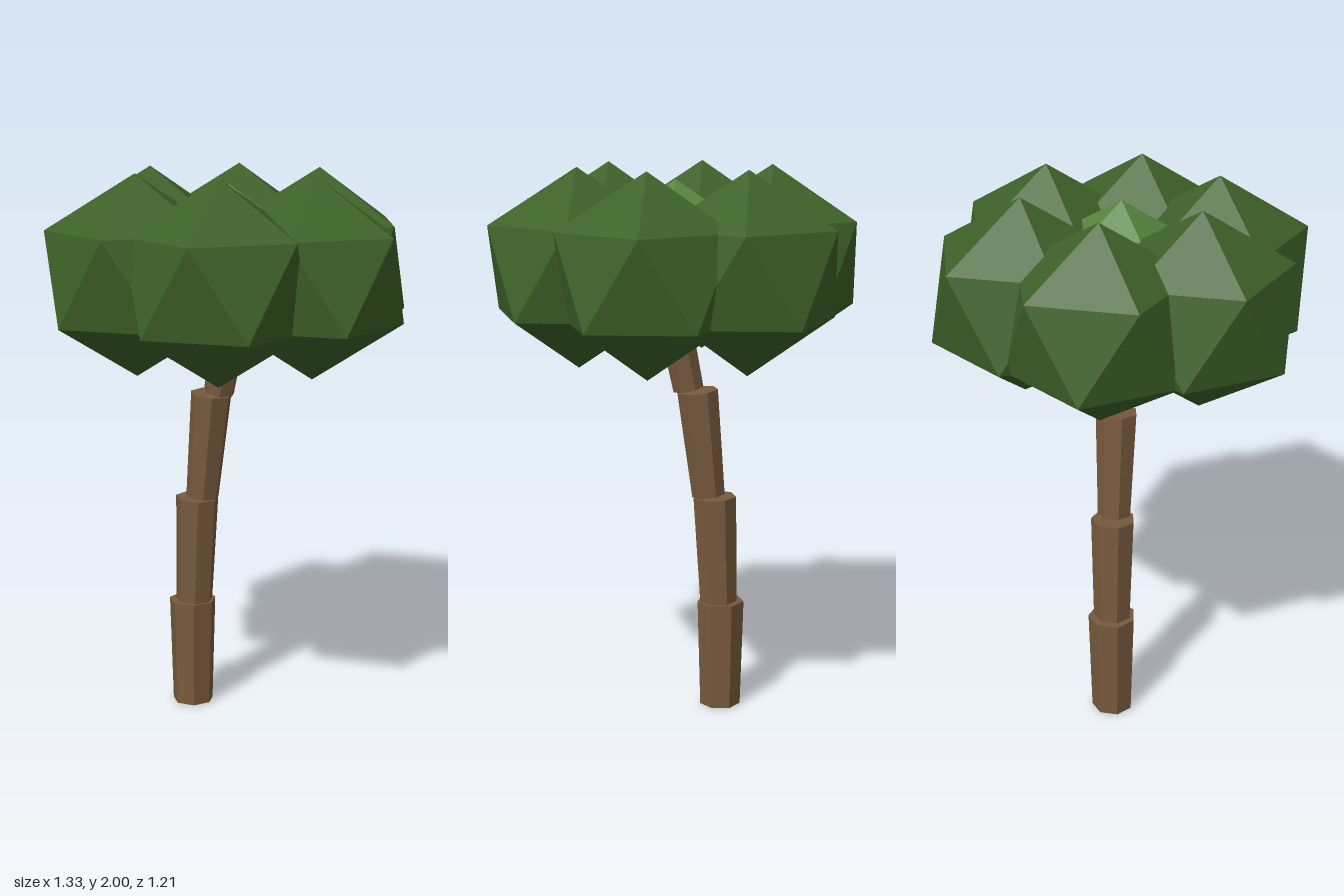
import * as THREE from 'three';

const material = (name, color) => {
  const m = new THREE.MeshStandardMaterial({ color, flatShading: true });
  m.name = name;
  return m;
};

// Icosahedron standing on a point, with an upper ring corner toward +x
function leafGeometry(radius) {
  const g = new THREE.IcosahedronGeometry(radius, 0);
  g.rotateX(-Math.atan((1 + Math.sqrt(5)) / 2));
  g.rotateY(Math.PI / 2);
  return g;
}

export function createModel() {
  const tree = new THREE.Group();
  tree.name = 'tree';
  const bark = material('bark brown', 0x785a3e);
  const leaf = material('leaf green', 0x3d6128);
  const lightLeaf = material('light leaf green', 0x55853d);

  const add = (parent, name, geometry, mat, x, y, z) => {
    const mesh = new THREE.Mesh(geometry, mat);
    mesh.name = name;
    mesh.position.set(x, y, z);
    parent.add(mesh);
    return mesh;
  };

  // Trunk: four flared seven-sided segments, leaning more toward the top
  // [bottom x, bottom y, top x, top y, bottom radius, top radius]
  const trunk = new THREE.Group();
  trunk.name = 'trunk';
  [
    [-0.17, 0, -0.17, 0.4, 0.076, 0.0875],
    [-0.162, 0.4, -0.146, 0.8, 0.069, 0.08],
    [-0.122, 0.808, -0.08, 1.198, 0.061, 0.075],
    [-0.046, 1.206, 0.035, 1.6, 0.056, 0.064],
  ].forEach(([x0, y0, x1, y1, r0, r1], i) => {
    const g = new THREE.CylinderGeometry(r1, r0, Math.hypot(x1 - x0, y1 - y0), 7);
    g.rotateY(Math.PI / 2);
    const segment = add(trunk, `trunkSegment${i + 1}`, g, bark, (x0 + x1) / 2, (y0 + y1) / 2, 0);
    segment.rotation.z = -Math.atan2(x1 - x0, y1 - y0);
  });
  tree.add(trunk);

  // Canopy: ring of six leaf clumps around a small light one
  const canopy = new THREE.Group();
  canopy.name = 'canopy';
  const clump = leafGeometry(0.35);
  for (let i = 0; i < 6; i++) {
    const a = (i * Math.PI) / 3;
    add(canopy, `leafClump${i + 1}`, clump, leaf, 0.352 * Math.cos(a), 1.65, 0.352 * Math.sin(a));
  }
  add(canopy, 'centreClump', leafGeometry(0.176), lightLeaf, 0, 1.776, 0);
  tree.add(canopy);

  return tree;
}
